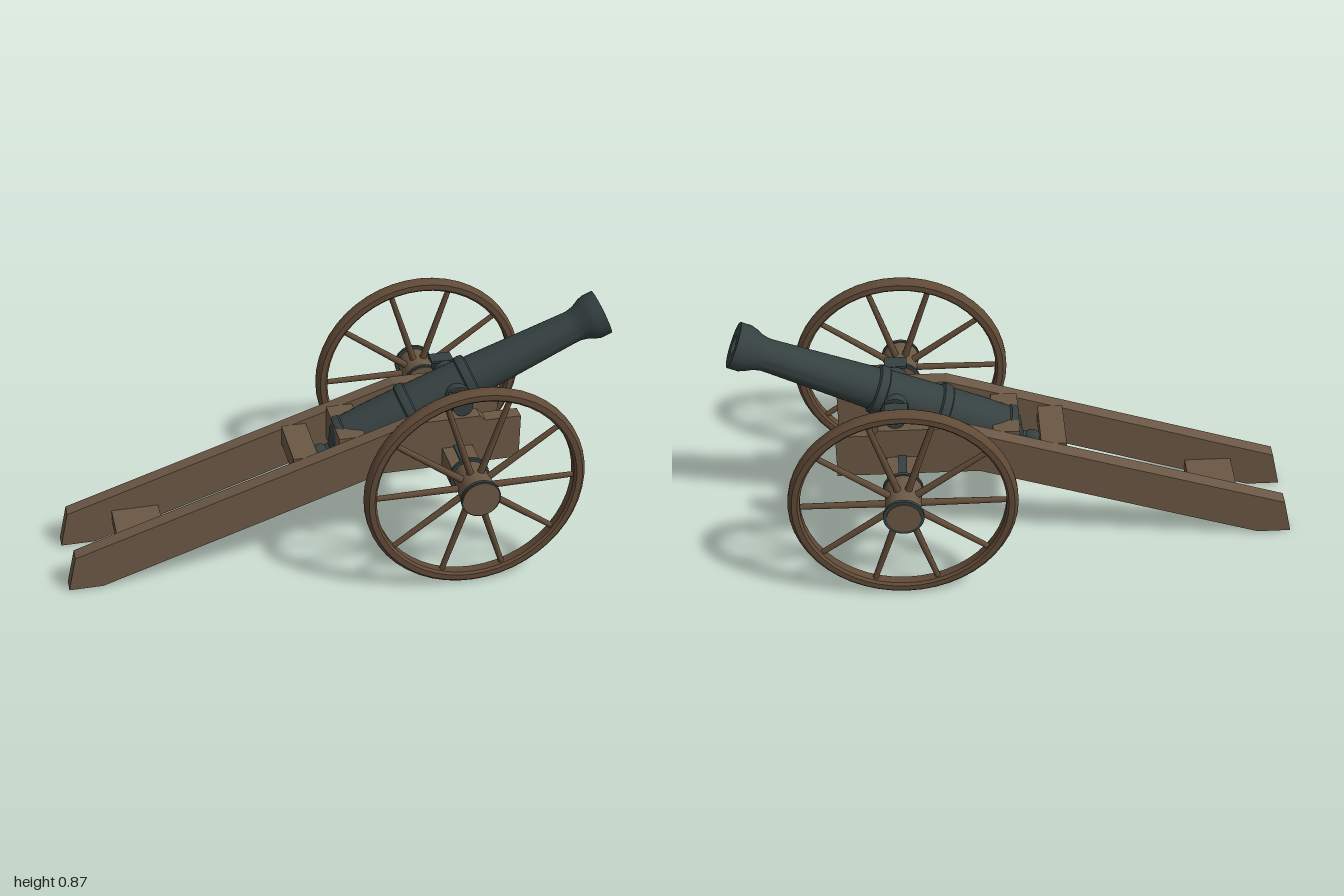
import * as THREE from 'three';
import { toCreasedNormals } from 'three/addons/utils/BufferGeometryUtils.js';

const material = (name, color) => {
  const m = new THREE.MeshStandardMaterial({ color });
  m.name = name;
  return m;
};

export function createModel() {
  const wood = material('carriage wood', 0x6b5845);
  const wheelWood = material('wheel wood', 0x604a37);
  const iron = material('dark iron', 0x354040);
  const model = new THREE.Group();
  model.name = 'fieldCannon';

  const add = (parent, name, geometry, mat, x = 0, y = 0, z = 0) => {
    const mesh = new THREE.Mesh(geometry, mat);
    mesh.name = name;
    mesh.position.set(x, y, z);
    parent.add(mesh);
    return mesh;
  };
  // Box given by its extents in x and y, and its half width in z
  const bar = (name, x0, x1, y0, y1, halfZ, mat) =>
    add(model, name, new THREE.BoxGeometry(x1 - x0, y1 - y0, halfZ * 2), mat, (x0 + x1) / 2, (y0 + y1) / 2);
  const lathe = (points, segments, crease = 0.5) =>
    toCreasedNormals(new THREE.LatheGeometry(points.map(p => new THREE.Vector2(...p)), segments), crease);
  const disc = (rFront, rBack, depth, segments = 32) =>
    new THREE.CylinderGeometry(rFront, rBack, depth, segments).rotateX(Math.PI / 2);

  // Two long side cheeks running back into the trail
  const cheekShape = new THREE.Shape([
    [-1, 0.005], [-0.88, 0.005], [0.13, 0.335], [0.63, 0.335], [0.63, 0.507],
    [0.5, 0.507], [0.48, 0.527], [0.235, 0.527], [-0.97, 0.137],
  ].map(p => new THREE.Vector2(...p)));
  const cheekGeometry = new THREE.ExtrudeGeometry(cheekShape, { depth: 0.053, bevelEnabled: false });
  add(model, 'leftCheek', cheekGeometry, wood, 0, 0, 0.11);
  add(model, 'rightCheek', cheekGeometry, wood, 0, 0, -0.163);

  // Cross pieces between the cheeks
  bar('trailTransom', -0.81, -0.64, 0.075, 0.13, 0.111, wood);
  bar('rearTransom', -0.18, -0.09, 0.33, 0.405, 0.111, wood);
  bar('breechBed', -0.015, 0.08, 0.335, 0.465, 0.111, wood);

  // Axle with an iron strip on top
  bar('axle', 0.345, 0.455, 0.335, 0.41, 0.315, wood);
  bar('axleStrip', 0.385, 0.415, 0.408, 0.416, 0.315, iron);

  // Barrel: profile runs from the knob to the muzzle and down the bore
  const barrel = add(model, 'barrel', lathe([
    [0, -1.15], [0.016, -1.146], [0.027, -1.134], [0.03, -1.12], [0.025, -1.105],
    [0.015, -1.092], [0.015, -1.08], [0.03, -1.068], [0.062, -1.05], [0.078, -1.03],
    [0.09, -1.03], [0.093, -1.02], [0.09, -1.005], [0.084, -1.0],
    [0.087, -0.9], [0.085, -0.785], [0.092, -0.78], [0.095, -0.765], [0.092, -0.75], [0.083, -0.745],
    [0.079, -0.55], [0.087, -0.545], [0.088, -0.53], [0.086, -0.515], [0.075, -0.51],
    [0.058, -0.13], [0.058, -0.11], [0.064, -0.085], [0.076, -0.06], [0.0825, -0.04], [0.0825, 0],
    [0.034, 0], [0.034, -0.3], [0, -0.3],
  ], 40), iron, 0.963, 0.797, 0);
  barrel.rotation.z = THREE.MathUtils.degToRad(23.5 - 90);

  // Trunnions, their collars and the cap plates
  add(model, 'trunnions', disc(0.036, 0.036, 0.304), iron, 0.42, 0.564, 0);
  add(model, 'trunnionCollar', disc(0.047, 0.047, 0.19), iron, 0.42, 0.564, 0);
  for (const side of [1, -1]) {
    add(model, 'capPlate', new THREE.BoxGeometry(0.08, 0.008, 0.057), iron, 0.415, 0.599, side * 0.1365);
  }

  // Wheel parts shared by both sides
  const rim = lathe([
    [0.352, -0.016], [0.36, -0.024], [0.38, -0.024], [0.389, -0.016], [0.393, -0.008],
    [0.393, 0.008], [0.389, 0.016], [0.38, 0.024], [0.36, 0.024], [0.352, 0.016], [0.352, -0.016],
  ], 48).rotateX(Math.PI / 2);
  const spoke = new THREE.CylinderGeometry(0.01, 0.013, 0.32, 10).translate(0, 0.2, 0);
  const makeWheel = (name, z) => {
    const wheel = new THREE.Group();
    wheel.name = name;
    wheel.position.set(0.4, 0.393, z);
    add(wheel, 'rim', rim, wheelWood);
    for (let i = 0; i < 10; i++) {
      add(wheel, 'spoke', spoke, wheelWood).rotation.z = (i / 10) * Math.PI * 2 - Math.PI / 2;
    }
    add(wheel, 'hub', disc(0.066, 0.058, 0.165), wood);
    add(wheel, 'outerHubBand', disc(0.07, 0.07, 0.012), iron, 0, 0, 0.073);
    add(wheel, 'innerHubBand', disc(0.07, 0.07, 0.012), iron, 0, 0, -0.073);
    add(wheel, 'hubFace', disc(0.066, 0.066, 0.004), wood, 0, 0, 0.081);
    model.add(wheel);
  };
  makeWheel('leftWheel', 0.393);
  makeWheel('rightWheel', -0.393);

  return model;
}
